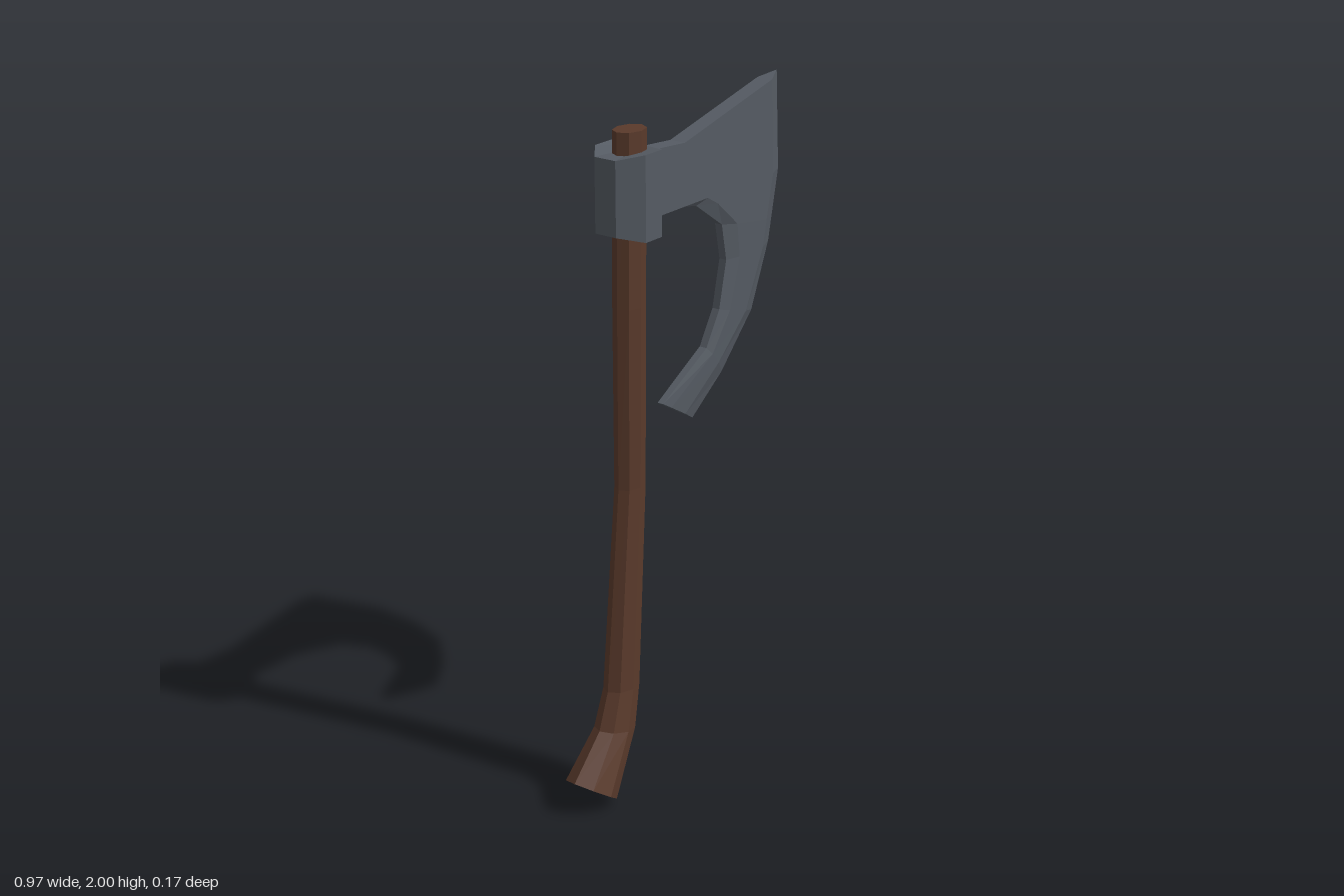
import * as THREE from 'three';

const steel = new THREE.MeshStandardMaterial({ color: 0x555b63, flatShading: true });
const wood = new THREE.MeshStandardMaterial({ color: 0x5a3a2b, flatShading: true });

// Skin a list of closed rings (first ring counter-clockwise seen from outside) and cap both ends
function loft(name, rings, material) {
  const n = rings[0].length;
  const pos = [];
  const tri = (a, b, c) => pos.push(...a, ...b, ...c);
  for (let i = 0; i < rings.length - 1; i++) {
    for (let j = 0; j < n; j++) {
      const k = (j + 1) % n;
      const a = rings[i][j], b = rings[i][k], c = rings[i + 1][k], d = rings[i + 1][j];
      tri(a, d, b);
      tri(b, d, c);
    }
  }
  const first = rings[0], last = rings[rings.length - 1];
  for (let j = 1; j < n - 1; j++) {
    tri(first[0], first[j], first[j + 1]);
    tri(last[0], last[j + 1], last[j]);
  }
  const geometry = new THREE.BufferGeometry();
  geometry.setAttribute('position', new THREE.Float32BufferAttribute(pos, 3));
  geometry.computeVertexNormals();
  const mesh = new THREE.Mesh(geometry, material);
  mesh.name = name;
  return mesh;
}

// Octagonal ring spanning a left and a right point, with half depth rz
function handleRing([lx, ly, rx, ry, rz]) {
  return Array.from({ length: 8 }, (_, i) => {
    const a = (i * Math.PI) / 4, t = (1 + Math.cos(a)) / 2;
    return [lx + (rx - lx) * t, ly + (ry - ly) * t, -rz * Math.sin(a)];
  });
}

// Blade section from the inner rim to the sharp edge: thin rim, full cheek, bevel, edge
function bladeRing([ix, iy, ex, ey, rimZ, cheekZ]) {
  const len = Math.hypot(ex - ix, ey - iy);
  const at = (t, z) => [ix + (ex - ix) * t, iy + (ey - iy) * t, z];
  const bevel = 1 - 0.06 / len;
  const front = [[0, rimZ], [0.22, cheekZ], [bevel, cheekZ]];
  return [
    ...front.map(([t, z]) => at(t, z)),
    at(1, 0),
    ...front.reverse().map(([t, z]) => at(t, -z)),
  ];
}

// Upright prism from corners [x, z, top, bottom]
function prism(name, corners) {
  const rings = [2, 3].map((h) => corners.map((c) => [c[0], c[h], c[1]]));
  return loft(name, rings, steel);
}

export function createModel() {
  const axe = new THREE.Group();
  axe.name = 'axe';

  // Curved handle with a flared, angled foot
  const handle = [
    [-0.264, 1.97, -0.156, 1.97, 0.041],
    [-0.27, 1.48, -0.165, 1.48, 0.041],
    [-0.272, 0.95, -0.168, 0.95, 0.038],
    [-0.33, 0.34, -0.205, 0.335, 0.044],
    [-0.37, 0.23, -0.23, 0.2, 0.051],
    [-0.485, 0.11, -0.335, 0.005, 0.072],
  ];
  axe.add(loft('handle', handle.map(handleRing), wood));

  const head = new THREE.Group();
  head.name = 'axeHead';

  // Faceted collar around the handle
  const half = [
    [-0.115, 0.025, 1.9, 1.71],
    [-0.18, 0.085, 1.92, 1.68],
    [-0.25, 0.085, 1.92, 1.68],
    [-0.315, 0.035, 1.91, 1.7],
  ];
  const back = half.map(([x, z, t, b]) => [x, -z, t, b]);
  head.add(prism('collar', [...back, ...[...half].reverse()]));

  // Neck joining collar and blade
  head.add(prism('neck', [
    [0, 0.025, 1.89, 1.71],
    [0, -0.025, 1.89, 1.71],
    [-0.13, -0.025, 1.9, 1.71],
    [-0.13, 0.025, 1.9, 1.71],
  ]));

  // Bearded blade, from the top horn down to the hooked tip
  const blade = [
    [0, 1.89, 0.465, 2.0, 0.025, 0.025],
    [0, 1.75, 0.476, 1.78, 0.025, 0.025],
    [0, 1.71, 0.48, 1.71, 0.025, 0.025],
    [0.065, 1.695, 0.465, 1.64, 0.015, 0.025],
    [0.19, 1.61, 0.45, 1.57, 0.012, 0.025],
    [0.212, 1.5, 0.435, 1.5, 0.012, 0.024],
    [0.18, 1.36, 0.355, 1.31, 0.012, 0.022],
    [0.12, 1.26, 0.21, 1.16, 0.012, 0.02],
    [-0.08, 1.15, 0.07, 1.06, 0.01, 0.014],
  ];
  head.add(loft('blade', blade.map(bladeRing), steel));

  axe.add(head);
  return axe;
}
